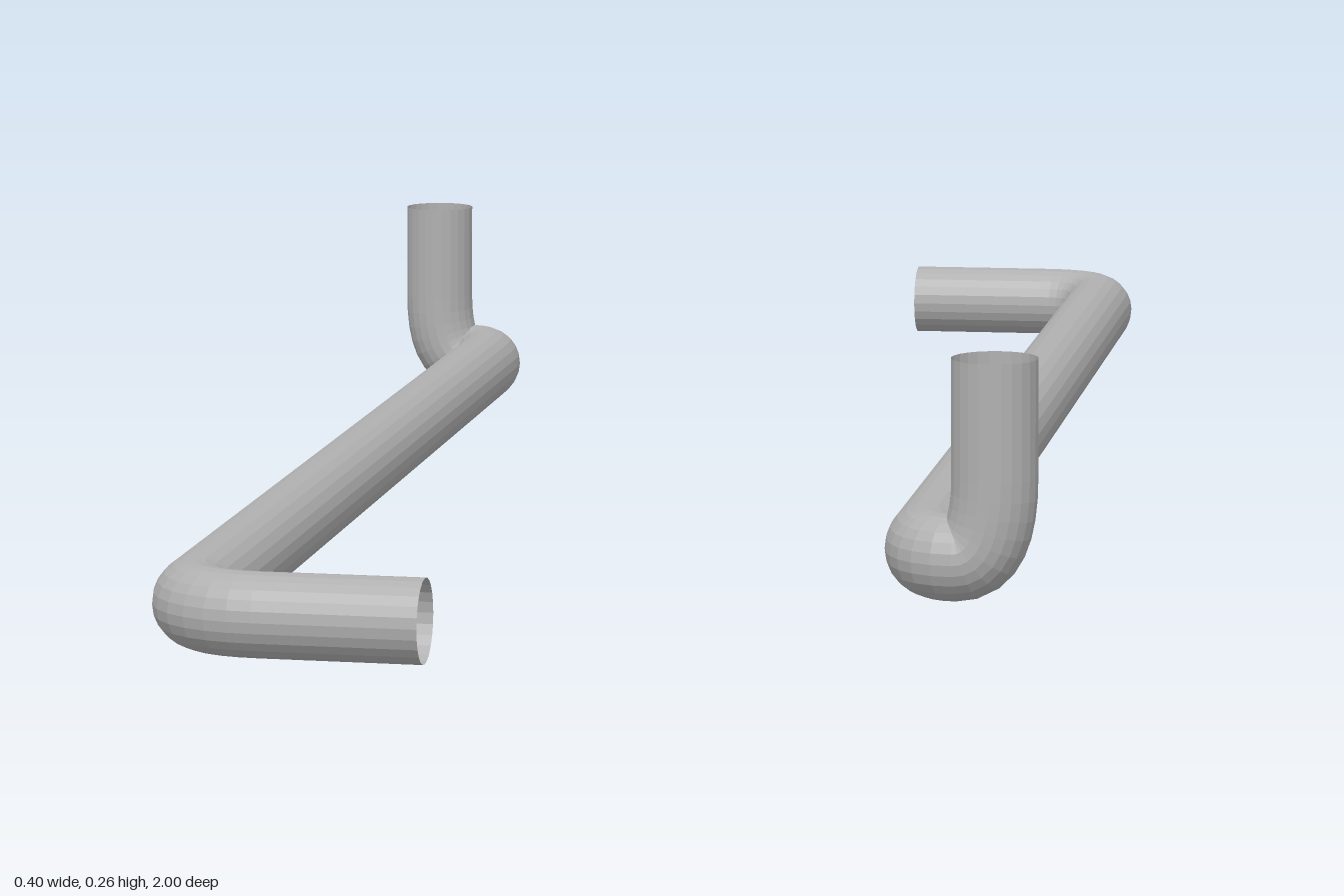
import * as THREE from 'three';

const RADIUS = 0.047;
const SIDES = 24;
const BEND = 0.09;       // longest run a bend takes from each leg
const BEND_STEPS = 8;

// Curve that visits ready-made stations, so straight legs stay a single segment
class StationCurve extends THREE.Curve {
  constructor(stations) {
    super();
    this.stations = stations;
  }
  at(u) {
    return this.stations[Math.round(u * (this.stations.length - 1))];
  }
  getPointAt(u, target = new THREE.Vector3()) {
    return target.copy(this.at(u).point);
  }
  getTangentAt(u, target = new THREE.Vector3()) {
    return target.copy(this.at(u).tangent);
  }
}

// Centre line through the corners, each corner rounded by a quadratic bend
function roundedPath(corners) {
  const last = corners.length - 1;
  const stations = [{
    point: corners[0],
    tangent: corners[1].clone().sub(corners[0]).normalize(),
  }];
  for (let i = 1; i < last; i++) {
    const corner = corners[i];
    const towards = (other) => {
      const run = Math.min(BEND, corner.distanceTo(other) * 0.499);
      return other.clone().sub(corner).setLength(run).add(corner);
    };
    const bend = new THREE.QuadraticBezierCurve3(
      towards(corners[i - 1]), corner, towards(corners[i + 1]));
    for (let k = 0; k <= BEND_STEPS; k++) {
      const t = k / BEND_STEPS;
      stations.push({ point: bend.getPoint(t), tangent: bend.getTangent(t) });
    }
  }
  stations.push({
    point: corners[last],
    tangent: corners[last].clone().sub(corners[last - 1]).normalize(),
  });
  return new StationCurve(stations);
}

export function createModel() {
  const group = new THREE.Group();
  group.name = 'bentPipe';

  const metal = new THREE.MeshStandardMaterial({
    color: 0xb0b0b0, flatShading: true, side: THREE.DoubleSide,
  });
  metal.name = 'grey metal';

  // Front stub, long run, short sideways jog, upright stub
  const path = roundedPath([
    new THREE.Vector3(0.2, RADIUS, 0.953),
    new THREE.Vector3(-0.071, RADIUS, 0.953),
    new THREE.Vector3(-0.071, RADIUS, -0.953),
    new THREE.Vector3(-0.153, RADIUS, -0.953),
    new THREE.Vector3(-0.153, 0.265, -0.953),
  ]);

  // Open-ended pipe wall
  const pipe = new THREE.Mesh(
    new THREE.TubeGeometry(path, path.stations.length - 1, RADIUS, SIDES, false), metal);
  pipe.name = 'pipe';
  group.add(pipe);
  return group;
}
